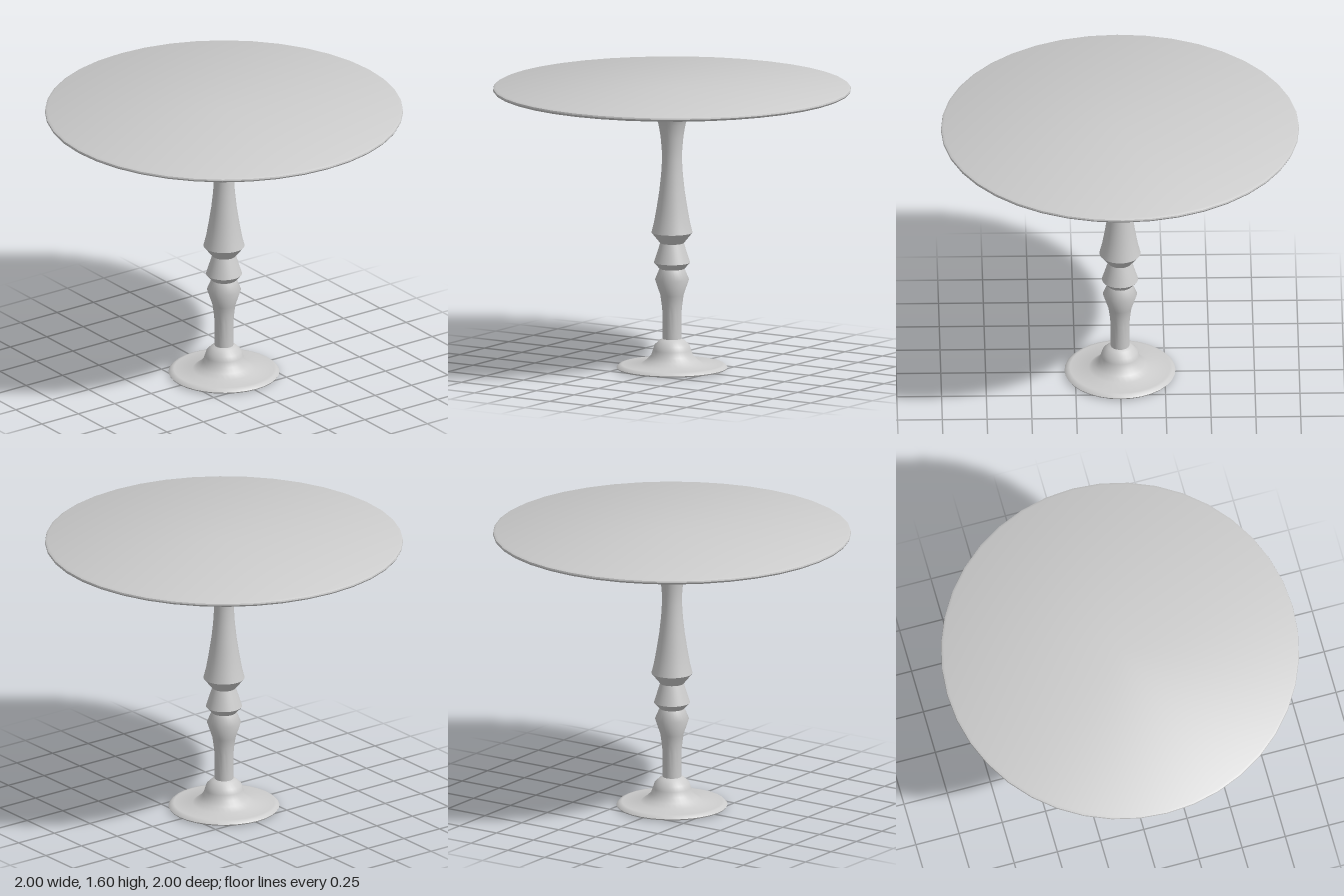
import * as THREE from 'three';
import { toCreasedNormals } from 'three/addons/utils/BufferGeometryUtils.js';

const material = new THREE.MeshStandardMaterial({ color: 0xcccccc });

// Turned part from a bottom-to-top list of [radius, height]
function turned(name, profile, segments, crease = 0.7) {
  const points = profile.map(([r, y]) => new THREE.Vector2(r, y));
  // start at +x so a vertex lies on each axis
  const lathe = new THREE.LatheGeometry(points, segments, Math.PI / 2);
  const mesh = new THREE.Mesh(toCreasedNormals(lathe, crease), material);
  mesh.name = name;
  return mesh;
}

export function createModel() {
  const table = new THREE.Group();
  table.name = 'pedestalTable';

  // Round top with softened rim
  table.add(turned('tableTop', [
    [0, 1.572], [0.985, 1.572], [0.996, 1.577], [1, 1.585],
    [0.998, 1.593], [0.985, 1.6], [0, 1.6],
  ], 40));

  // Mounting plate under the top
  table.add(turned('mountingPlate', [
    [0, 1.561], [0.194, 1.561], [0.2, 1.565], [0.2, 1.574], [0, 1.574],
  ], 32));

  // Four domed screws on the plate's diagonals
  for (let i = 0; i < 4; i++) {
    const angle = Math.PI / 4 + i * Math.PI / 2;
    const screw = turned('screw', [
      [0, 1.55], [0.011, 1.552], [0.018, 1.557], [0.02, 1.564],
    ], 12, 1.2);
    screw.position.set(0.165 * Math.cos(angle), 0, 0.165 * Math.sin(angle));
    table.add(screw);
  }

  // Turned column
  table.add(turned('column', [
    [0.052, 0.15], [0.052, 0.2], [0.053, 0.32], [0.058, 0.37], [0.065, 0.42],
    [0.095, 0.51], [0.07, 0.57], [0.101, 0.605], [0.066, 0.715],
    [0.115, 0.775], [0.101, 0.83], [0.085, 0.92], [0.071, 1.01],
    [0.061, 1.1], [0.056, 1.18], [0.057, 1.24], [0.064, 1.32],
    [0.076, 1.39], [0.093, 1.44], [0.117, 1.485], [0.118, 1.545],
    [0.112, 1.555], [0, 1.562],
  ], 32, 0.9));

  // Flared foot with flat rim
  table.add(turned('foot', [
    [0, 0], [0.2, 0], [0.306, 0.005], [0.31, 0.012], [0.296, 0.026],
    [0.28, 0.029], [0.175, 0.031], [0.142, 0.054], [0.117, 0.08],
    [0.107, 0.11], [0.098, 0.138], [0.07, 0.165], [0.05, 0.174],
  ], 32));

  return table;
}
